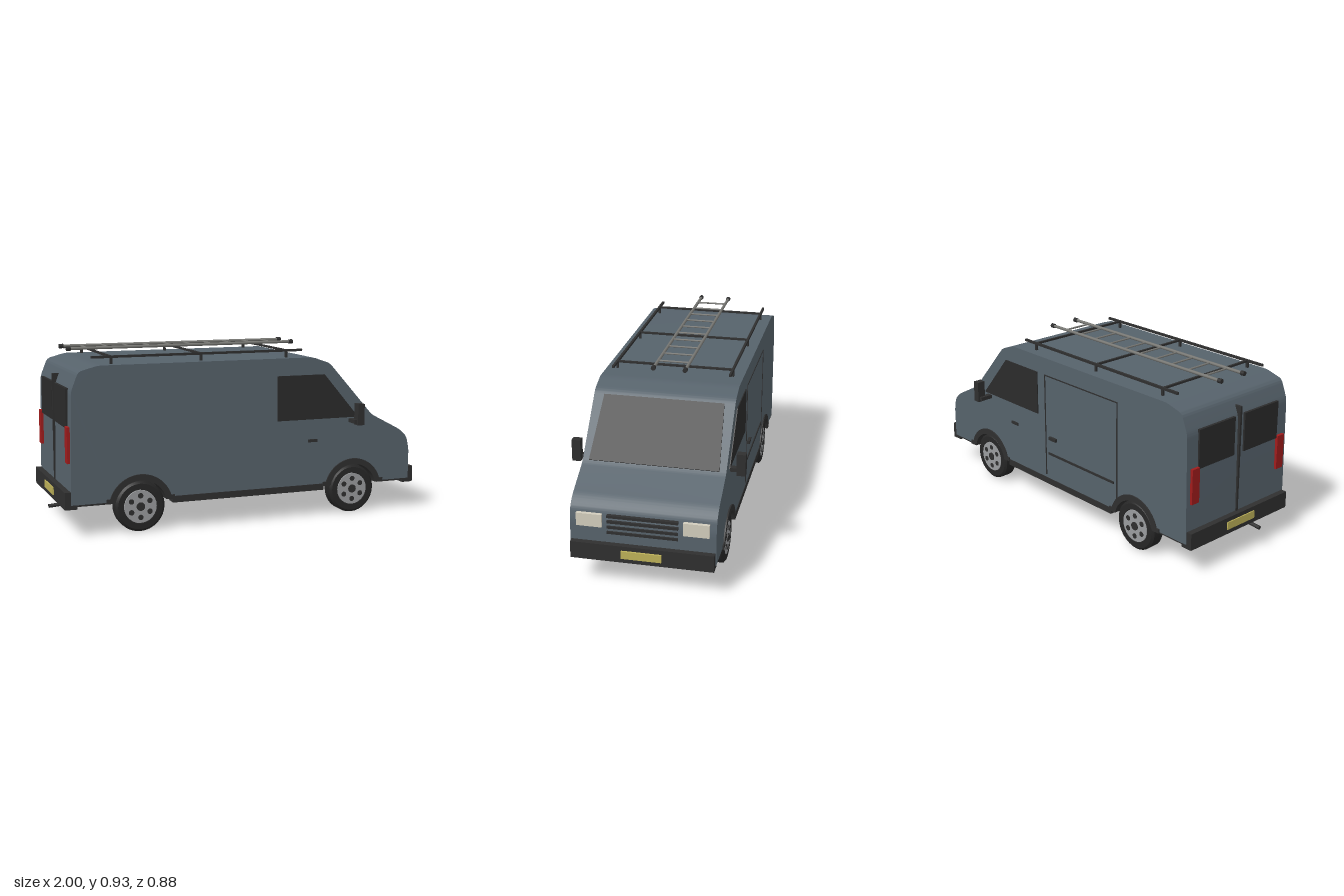
import * as THREE from 'three';
import { toCreasedNormals } from 'three/addons/utils/BufferGeometryUtils.js';

const mat = (name, color) => Object.assign(new THREE.MeshStandardMaterial({ color }), { name });

export function createModel() {
  const paint = mat('body paint', 0x56626b), trim = mat('dark trim', 0x2f2f2f), rubber = mat('tyre rubber', 0x262626);
  const glass = mat('tinted glass', 0x2b2b2b), metal = mat('wheel metal', 0x9a9c9e), alloy = mat('ladder metal', 0x777773);
  const lamp = mat('headlamp', 0xd2cdbd), plateMat = mat('number plate', 0xbcb058), red = mat('tail lamp red', 0xa01c1c);
  const van = new THREE.Group();
  van.name = 'van';

  const add = (name, geo, m, parent = van) => {
    const mesh = new THREE.Mesh(geo, m);
    mesh.name = name;
    parent.add(mesh);
    return mesh;
  };
  // box given by its min and max on each axis
  const box = (name, m, x0, x1, y0, y1, z0, z1) => {
    const b = add(name, new THREE.BoxGeometry(x1 - x0, y1 - y0, z1 - z0), m);
    b.position.set((x0 + x1) / 2, (y0 + y1) / 2, (z0 + z1) / 2);
    return b;
  };
  const pair = (name, m, x0, x1, y0, y1, z0, z1) => {
    box(name, m, x0, x1, y0, y1, z0, z1);
    box(name, m, x0, x1, y0, y1, -z1, -z0);
  };
  const extrude = (shape, depth, segs = 16) => new THREE.ExtrudeGeometry(shape, { depth, bevelEnabled: false, curveSegments: segs });
  const poly = (pts) => new THREE.Shape(pts.map(([x, y]) => new THREE.Vector2(x, y)));

  // body shell: side profile with softened corners and wheel cut-outs
  const wheelX = [0.615, -0.58], wheelY = 0.13, base = 0.165, cut = 0.145;
  const profile = [[-0.938, base], [-0.928, 0.73], [-0.89, 0.827], [-0.79, 0.854], [0.37, 0.854],
    [0.468, 0.82], [0.725, 0.532], [0.9, 0.44], [0.942, 0.4], [0.958, 0.33], [0.958, base]]
    .map(([x, y]) => new THREE.Vector2(x, y));
  const shell = new THREE.Shape();
  shell.moveTo(profile[0].x, profile[0].y);
  for (let i = 1; i < profile.length - 1; i++) {
    const p = profile[i];
    const toward = (q) => p.clone().lerp(q, Math.min(0.022 / p.distanceTo(q), 0.4));
    const a = toward(profile[i - 1]), b = toward(profile[i + 1]);
    shell.lineTo(a.x, a.y);
    shell.quadraticCurveTo(p.x, p.y, b.x, b.y);
  }
  shell.lineTo(0.958, base);
  const dip = Math.asin((base - wheelY) / cut);
  for (const x of wheelX) {
    shell.lineTo(x + cut * Math.cos(dip), base);
    shell.absarc(x, wheelY, cut, dip, Math.PI - dip, false);
  }
  const shellGeo = extrude(shell, 0.72, 10);
  shellGeo.translate(0, 0, -0.36);
  add('bodyShell', toCreasedNormals(shellGeo, 0.4), paint);

  // underside and wheel well fillers
  box('floor', trim, -0.93, 0.95, 0.155, 0.168, -0.265, 0.265);
  for (const [a, b] of [[-0.93, -0.73], [-0.43, 0.465], [0.765, 0.95]]) pair('floorEdge', trim, a, b, 0.155, 0.168, 0.265, 0.355);
  for (const x of wheelX) box('wheelWell', trim, x - 0.15, x + 0.15, 0.165, 0.295, -0.265, 0.265);
  pair('sill', trim, -0.41, 0.44, 0.138, 0.172, 0.3, 0.363);

  // wheel arches and wheels, mirrored by half-turn
  const archShape = new THREE.Shape();
  const a0 = Math.asin(0.03 / 0.168), a1 = Math.asin(0.03 / 0.137);
  archShape.absarc(0, 0, 0.168, a0, Math.PI - a0, false);
  archShape.lineTo(-0.137 * Math.cos(a1), 0.03);
  archShape.absarc(0, 0, 0.137, Math.PI - a1, a1, true);
  archShape.closePath();
  const archGeo = toCreasedNormals(extrude(archShape, 0.1, 24), 0.5);
  const tyreGeo = new THREE.LatheGeometry([[0.0, -0.04], [0.115, -0.04], [0.129, -0.03], [0.13, 0.03], [0.118, 0.04],
    [0.088, 0.041], [0.086, 0.03], [0, 0.03]].map(([r, y]) => new THREE.Vector2(r, y)), 32).rotateX(Math.PI / 2);
  const disc = (r, d) => new THREE.CylinderGeometry(r, r, d, 24).rotateX(Math.PI / 2);
  for (const x of wheelX) for (const side of [1, -1]) {
    const corner = new THREE.Group();
    corner.name = 'wheel';
    corner.position.set(x, wheelY, 0);
    corner.rotation.y = side > 0 ? 0 : Math.PI;
    van.add(corner);
    add('wheelArch', archGeo, trim, corner).position.z = 0.267;
    for (const s of [-1, 1]) {
      add('archFoot', new THREE.BoxGeometry(0.04, 0.022, 0.07), trim, corner).position.set(s * 0.16, 0.04, 0.332);
    }
    add('tyre', toCreasedNormals(tyreGeo.clone(), 0.6), rubber, corner).position.z = 0.314;
    add('rim', disc(0.085, 0.02), metal, corner).position.z = 0.345;
    add('hubCap', disc(0.022, 0.008), trim, corner).position.z = 0.356;
    for (let i = 0; i < 6; i++) {
      const t = (i + 0.5) * Math.PI / 3;
      add('rimHole', disc(0.014, 0.004), trim, corner).position.set(0.056 * Math.cos(t), 0.056 * Math.sin(t), 0.355);
    }
  }

  // windscreen lying on the slope
  const slope = new THREE.Vector3(0.468 - 0.725, 0.82 - 0.532, 0).normalize();
  const screen = add('windscreen', extrude(poly([[-0.327, 0], [0.327, 0], [0.306, 0.348], [-0.306, 0.348]]), 0.009), glass);
  const across = new THREE.Vector3(0, 0, -1);
  screen.quaternion.setFromRotationMatrix(new THREE.Matrix4().makeBasis(across, slope, across.clone().cross(slope)));
  screen.position.set(0.716, 0.54, 0);

  // cab side windows, door handles and mirrors
  const sideGlass = extrude(poly([[0.168, 0.525], [0.64, 0.525], [0.437, 0.762], [0.168, 0.762]]), 0.008);
  for (const z of [0.357, -0.365]) add('sideWindow', sideGlass, glass).position.z = z;
  pair('doorHandle', trim, 0.345, 0.398, 0.403, 0.418, 0.355, 0.368);
  pair('mirrorArm', trim, 0.585, 0.615, 0.498, 0.518, 0.355, 0.43);
  pair('mirrorHead', trim, 0.6, 0.638, 0.49, 0.604, 0.396, 0.441);

  // sliding door seams, track and handle on one side
  box('doorSeam', trim, -0.455, 0.11, 0.756, 0.762, -0.363, -0.355);
  for (const x of [-0.455, 0.104]) box('doorSeam', trim, x, x + 0.006, 0.19, 0.762, -0.363, -0.355);
  box('doorTrack', trim, -0.43, 0.085, 0.314, 0.326, -0.365, -0.355);
  box('slideHandle', trim, 0.015, 0.07, 0.405, 0.422, -0.374, -0.355);

  // front end
  box('frontBumper', trim, 0.925, 0.988, 0.142, 0.23, -0.355, 0.355);
  box('frontPlate', plateMat, 0.985, 0.998, 0.168, 0.208, -0.1, 0.1);
  pair('headlight', lamp, 0.935, 0.966, 0.31, 0.377, 0.2, 0.327);
  for (let i = 0; i < 4; i++) box('grilleBar', trim, 0.93, 0.966, 0.279 + i * 0.0285, 0.292 + i * 0.0285, -0.175, 0.175);

  // rear end
  box('rearBumper', trim, -0.968, -0.905, 0.142, 0.23, -0.355, 0.355);
  box('rearPlate', plateMat, -0.974, -0.966, 0.168, 0.208, -0.1, 0.1);
  box('rearDoorSeam', trim, -0.943, -0.905, 0.23, 0.785, -0.006, 0.006);
  pair('rearWindow', glass, -0.939, -0.925, 0.54, 0.74, 0.035, 0.285);
  pair('tailLight', red, -0.947, -0.925, 0.37, 0.552, 0.285, 0.335);
  const pipe = add('exhaust', new THREE.CylinderGeometry(0.01, 0.01, 0.12, 12).rotateZ(Math.PI / 2), trim);
  pipe.position.set(-0.94, 0.12, 0.115);
  pipe.rotation.z = 0.08;

  // roof rack
  pair('rackRail', trim, -0.81, 0.33, 0.884, 0.896, 0.298, 0.31);
  for (const x of [-0.71, -0.235, 0.24]) {
    box('rackBar', trim, x - 0.006, x + 0.006, 0.885, 0.895, -0.304, 0.304);
    pair('rackPost', trim, x - 0.006, x + 0.006, 0.85, 0.89, 0.298, 0.31);
  }

  // ladder
  const rod = (r, len) => new THREE.CylinderGeometry(r, r, len, 10);
  for (const z of [-0.082, 0.082]) {
    add('ladderRail', rod(0.008, 1.23).rotateZ(Math.PI / 2), alloy).position.set(-0.254, 0.916, z);
    for (const x of [-0.872, 0.364]) add('ladderCap', rod(0.012, 0.022).rotateZ(Math.PI / 2), trim).position.set(x, 0.916, z);
  }
  for (let i = 0; i < 10; i++) add('ladderRung', rod(0.005, 0.164).rotateX(Math.PI / 2), alloy).position.set(-0.77 + i * 0.114, 0.916, 0);

  return van;
}
